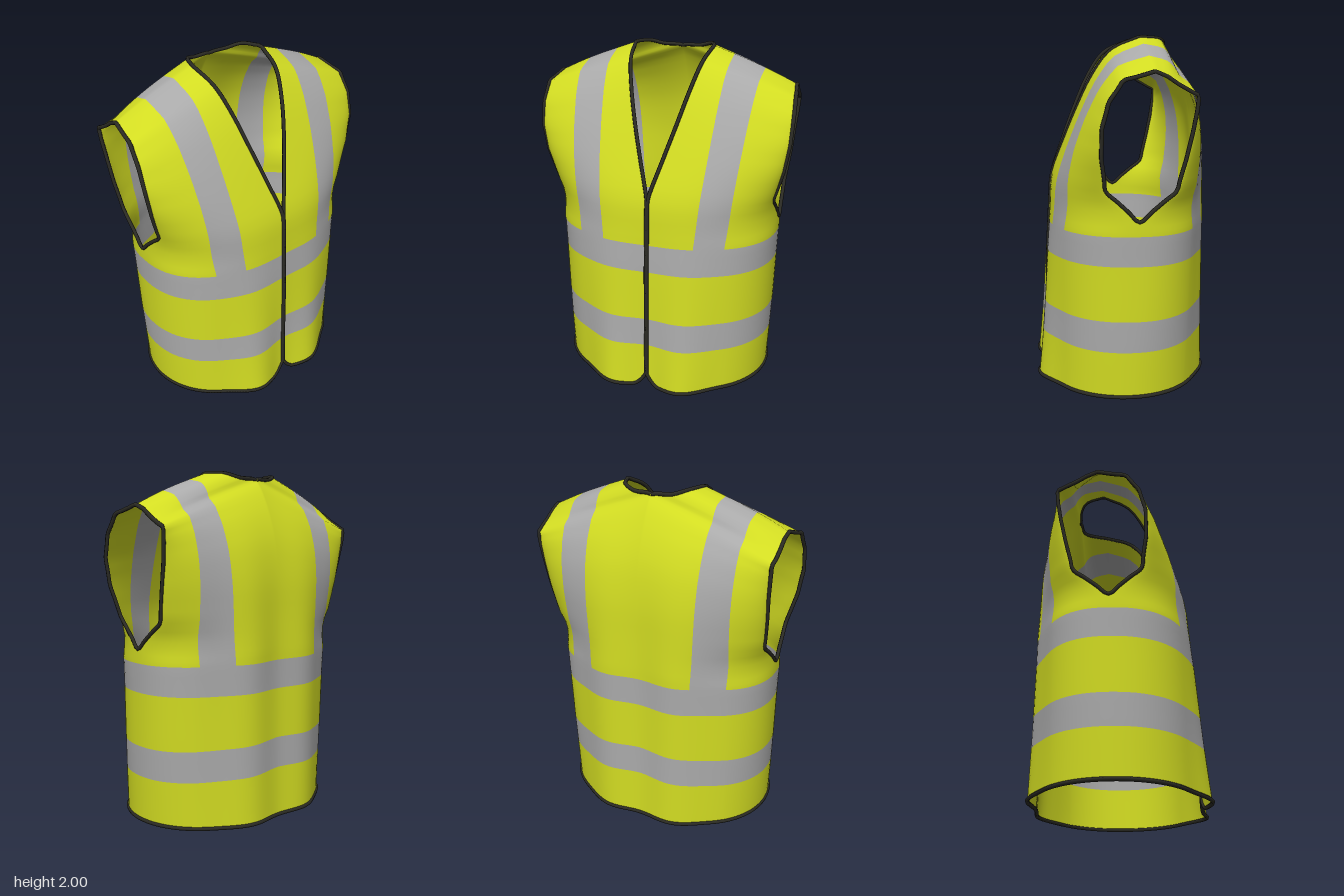
import * as THREE from 'three';
import { mergeVertices } from 'three/addons/utils/BufferGeometryUtils.js';

const { lerp, clamp } = THREE.MathUtils;
const SUB = 3; // grid rows per pair of key rows
const ARMPIT = 5; // key row where the armhole starts
const BELT_TOP = 4; // key row where the shoulder stripes start
const BACK_NECK = 11; // key row where the back neckline starts

// Key rows of half a panel: centre or neck edge (x, y, z), then side or armhole edge (x, y, z)
const FRONT = [
  [0.003, 0.013, 0.455, 0.645, 0.035, -0.01],
  [0.003, 0.29, 0.445, 0.655, 0.295, -0.02],
  [0.003, 0.465, 0.44, 0.66, 0.472, -0.03],
  [0.003, 0.77, 0.43, 0.665, 0.78, -0.04],
  [0.003, 0.935, 0.42, 0.67, 0.945, -0.04],
  [0.003, 1.025, 0.415, 0.67, 1.025, -0.04],
  [0.003, 1.2, 0.40, 0.66, 1.19, 0.138],
  [0.06, 1.4, 0.33, 0.71, 1.37, 0.165],
  [0.12, 1.6, 0.25, 0.735, 1.52, 0.163],
  [0.17, 1.78, 0.165, 0.74, 1.65, 0.128],
  [0.21, 1.92, 0.06, 0.735, 1.755, 0.055],
  [0.235, 1.99, -0.1, 0.715, 1.80, -0.11],
];
const BACK = [
  [0, 0.03, -0.472, 0.645, 0.035, -0.01],
  [0, 0.315, -0.466, 0.655, 0.295, -0.02],
  [0, 0.493, -0.463, 0.66, 0.472, -0.03],
  [0, 0.78, -0.46, 0.665, 0.78, -0.04],
  [0, 0.945, -0.46, 0.67, 0.945, -0.04],
  [0, 1.025, -0.46, 0.67, 1.025, -0.04],
  [0, 1.2, -0.457, 0.66, 1.185, -0.235],
  [0, 1.4, -0.453, 0.68, 1.36, -0.28],
  [0, 1.6, -0.428, 0.69, 1.5, -0.31],
  [0, 1.76, -0.38, 0.70, 1.61, -0.328],
  [0, 1.89, -0.318, 0.705, 1.68, -0.333],
  [0, 1.955, -0.268, 0.71, 1.705, -0.285],
  [0.11, 1.962, -0.255, 0.71, 1.735, -0.23],
  [0.19, 1.985, -0.21, 0.71, 1.775, -0.17],
  [0.235, 1.99, -0.1, 0.715, 1.80, -0.11],
];

// Columns in three sections: chest, shoulder stripe, side
const COLUMNS = [[12, 0], [4, 1], [12, 2]];

// Grid of points for half a panel, from hem to shoulder and centre to side
function panelGrid(keys, isFront) {
  const inner = new THREE.CatmullRomCurve3(
    keys.map((k) => new THREE.Vector3(k[0], k[1], k[2])), false, 'catmullrom', 0.5);
  const last = keys.length - 1;
  const rows = [];
  for (let r = 0; r <= last * SUB; r++) {
    const k = Math.min(Math.floor(r / SUB), last - 1);
    const f = r / SUB - k;
    const A = inner.getPoint(r / (last * SUB));
    A.x = Math.max(A.x, keys[0][0]);
    if (r === last * SUB) A.fromArray(keys[last]);
    const [bx, by, bz] = [3, 4, 5].map((i) => lerp(keys[k][i], keys[k + 1][i], f));
    const rise = clamp((by - 0.945) / 0.855, 0, 1);
    const s1 = lerp(isFront ? 0.27 : 0.315, 0.355, rise);
    const s2 = lerp(isFront ? 0.435 : 0.495, 0.535, rise);

    const xs = [];
    for (const [n, section] of COLUMNS) {
      for (let c = 0; c < n; c++) {
        const g = c / n;
        if (section === 0) xs.push(lerp(A.x, s1, g ** 1.5));
        else if (section === 1) xs.push(lerp(s1, s2, g));
        else xs.push(lerp(s2, bx, Math.sin(g * Math.PI / 2)));
      }
    }
    xs.push(bx);

    // the hem is slightly pinched at the side seams, the chest is full, the shoulders are flat
    const power = rise > 0 ? lerp(0.43, 0.75, rise) : lerp(0.5, 0.43, clamp(by / 0.945, 0, 1));
    const round = (t) => Math.max(0, 1 - t ** 2.55) ** power;
    // beside the armhole the chest continues the body's curve, cut off where the armhole starts
    const flat = clamp(rise / 0.6, 0, 1);
    const seamZ = rise > 0 ? -0.04 : bz;
    const cut = flat < 1 ? (1 - ((bz - seamZ) / (A.z - seamZ)) ** (1 / power)) ** (1 / 2.55) : 1;

    rows.push(xs.map((x) => {
      const t = clamp((x - A.x) / (bx - A.x), 0, 1);
      let y = lerp(A.y, by, t) + 0.01 * Math.sin(Math.PI * t ** 1.2) * rise ** 2;
      let z = lerp(seamZ + (A.z - seamZ) * round(t * cut), bz + (A.z - bz) * round(t), flat);
      // soft fold either side of the middle, fading upwards
      const fold = Math.sin(Math.PI * clamp(x / 0.44, 0, 1)) ** 2;
      z += isFront
        ? 0.055 * fold * Math.max(0, 1 - y / 1.5) ** 2
        : -0.03 * fold * clamp((1.9 - y) / 0.9, 0, 1);
      // rounded lower front corners
      if (isFront && y < 0.29) y += 0.09 * Math.max(0, 1 - x / 0.09) ** 2 * (1 - y / 0.29);
      return new THREE.Vector3(x, y, z);
    }));
  }
  return rows;
}

// Horizontal bands and shoulder stripes are reflective
function isReflective(r, c) {
  const key = Math.floor(r / SUB);
  const onStripe = c >= COLUMNS[0][0] && c < COLUMNS[0][0] + COLUMNS[1][0];
  return key === 1 || key === 3 || (key >= BELT_TOP && onStripe);
}

function shellGeometry(front, back) {
  const positions = [];
  const faces = [[], []]; // fabric, reflective tape
  for (const side of [1, -1]) {
    for (const [grid, facing] of [[front, 1], [back, -1]]) {
      const base = positions.length / 3;
      const w = grid[0].length;
      for (const row of grid) for (const p of row) positions.push(p.x * side, p.y, p.z);
      for (let r = 0; r < grid.length - 1; r++) {
        for (let c = 0; c < w - 1; c++) {
          const a = base + r * w + c, b = a + 1, d = a + w, e = d + 1;
          const list = faces[isReflective(r, c) ? 1 : 0];
          if (side * facing > 0) list.push(a, b, e, a, e, d);
          else list.push(a, e, b, a, d, e);
        }
      }
    }
  }
  const geo = new THREE.BufferGeometry();
  geo.setAttribute('position', new THREE.Float32BufferAttribute(positions, 3));
  geo.setIndex([...faces[0], ...faces[1]]);
  geo.addGroup(0, faces[0].length, 0);
  geo.addGroup(faces[0].length, faces[1].length, 1);
  const welded = mergeVertices(geo, 1e-4);
  welded.computeVertexNormals();
  return welded;
}

export function createModel() {
  const vest = new THREE.Group();
  vest.name = 'safetyVest';
  const material = (name, color) => {
    const m = new THREE.MeshStandardMaterial({ color, side: THREE.DoubleSide });
    m.name = name;
    return m;
  };
  const yellow = material('fluorescentYellow', 0xd2dc22);
  const grey = material('reflectiveGrey', 0xaaaaaa);
  const dark = material('darkTrim', 0x2b2b24);

  const front = panelGrid(FRONT, true);
  const back = panelGrid(BACK, false);

  const shell = new THREE.Mesh(shellGeometry(front, back), [yellow, grey]);
  shell.name = 'vestShell';
  vest.add(shell);

  // Dark binding along every edge, mirrored left and right
  const first = (row) => row[0];
  const end = (row) => row[row.length - 1];
  const edges = {
    FrontAndNeckTrim: [...front.map(first), ...back.slice(BACK_NECK * SUB, -1).map(first).reverse()],
    ArmholeTrim: [...front.slice(ARMPIT * SUB).map(end), ...back.slice(ARMPIT * SUB + 1, -1).map(end).reverse()],
    HemTrim: [...front[0], ...back[0].slice(0, -1).reverse()],
  };
  for (const [sideName, side] of [['left', 1], ['right', -1]]) {
    for (const [name, path] of Object.entries(edges)) {
      const closed = name === 'ArmholeTrim';
      const points = path.map((p) => new THREE.Vector3(p.x * side, p.y, p.z));
      const curve = new THREE.CatmullRomCurve3(points, closed);
      const trim = new THREE.Mesh(new THREE.TubeGeometry(curve, points.length * 2, 0.0115, 6, closed), dark);
      trim.name = sideName + name;
      vest.add(trim);
    }
  }
  return vest;
}
